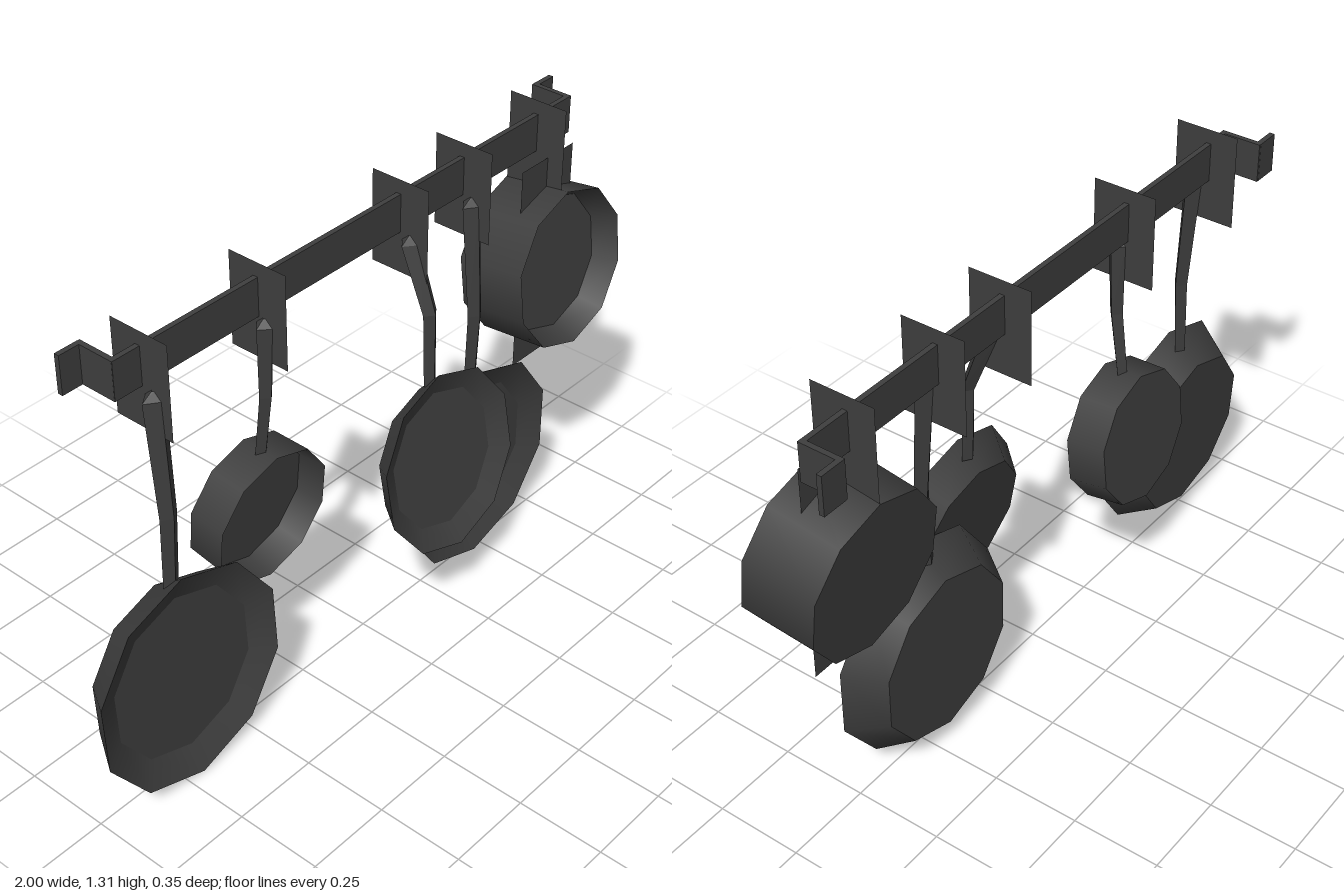
import * as THREE from 'three';

const iron = new THREE.MeshStandardMaterial({ color: 0x3e3e3e, side: THREE.DoubleSide });
iron.name = 'dark iron';

function add(parent, name, geometry, x = 0, y = 0, z = 0) {
  const mesh = new THREE.Mesh(geometry, iron);
  mesh.name = name;
  mesh.position.set(x, y, z);
  parent.add(mesh);
  return mesh;
}

// Ten-sided open wall facing +z, with its rim at z = 0
function wall(rimR, floorR, depth) {
  return new THREE.CylinderGeometry(rimR, floorR, depth, 10, 1, true)
    .rotateX(Math.PI / 2).translate(0, 0, -depth / 2);
}

function disc(r, z) {
  return new THREE.CircleGeometry(r, 10).rotateZ(Math.PI / 2).translate(0, 0, z);
}

// Outer shell with a shallower dish set into its mouth
function vessel({ name, x, y, z, rimR, floorR, depth, dishR, dishDepth, tilt }) {
  const group = new THREE.Group();
  group.name = name;
  group.position.set(x, y, z);
  group.rotation.x = tilt;
  add(group, 'outerWall', wall(rimR, floorR, depth));
  add(group, 'base', disc(floorR, -depth));
  add(group, 'innerWall', wall(rimR, dishR, dishDepth));
  add(group, 'innerFloor', disc(dishR, -dishDepth));
  return group;
}

// Diamond-section handle; each ring is [y, z, half width, half depth]
function handleGeometry(rings) {
  const pos = [], index = [];
  rings.forEach(([y, z, w, d], i) => {
    pos.push(w, y, z, 0, y, z + d, -w, y, z, 0, y, z - d);
    if (i === 0) return;
    for (let k = 0; k < 4; k++) {
      const a = (i - 1) * 4 + k, b = (i - 1) * 4 + (k + 1) % 4;
      index.push(a, b, b + 4, a, b + 4, a + 4);
    }
  });
  const geometry = new THREE.BufferGeometry();
  geometry.setAttribute('position', new THREE.Float32BufferAttribute(pos, 3));
  geometry.setIndex(index);
  const flat = geometry.toNonIndexed();
  flat.computeVertexNormals();
  return flat;
}

export function createModel() {
  const model = new THREE.Group();
  model.name = 'hangingPanRack';

  // Wall rail with a stepped bracket at each end
  const railX = 0.07, railY = 1.216, railH = 0.11;
  add(model, 'rail', new THREE.BoxGeometry(1.71, railH, 0.015), railX, railY, -0.063);
  for (const side of [-1, 1]) {
    add(model, 'bracketArm', new THREE.BoxGeometry(0.015, railH, 0.12), railX + side * 0.848, railY, -0.117);
    add(model, 'bracketFoot', new THREE.BoxGeometry(0.07, railH, 0.015), railX + side * 0.882, railY, -0.17);
  }

  // Flat hooks over the rail
  for (const x of [-0.7, -0.315, 0.208, 0.462, 0.778]) {
    add(model, 'hook', new THREE.PlaneGeometry(0.185, 0.27).rotateY(Math.PI / 2), x, 1.177, -0.057);
  }

  // Pans, each with the depths its handle passes through: top, middle, end
  const pans = [
    { name: 'largePanLeft', x: -0.7, y: 0.319, z: 0.05, rimR: 0.314, floorR: 0.245, depth: 0.105,
      dishR: 0.238, dishDepth: 0.035, tilt: -0.06, handleZ: [-0.022, 0, -0.008], width: 0.036 },
    { name: 'smallPan', x: -0.315, y: 0.558, z: -0.028, rimR: 0.2, floorR: 0.194, depth: 0.115,
      dishR: 0.188, dishDepth: 0.08, tilt: 0.09, handleZ: [-0.038, -0.042, -0.07], width: 0.029 },
    { name: 'mediumPan', x: 0.21, y: 0.521, z: 0.129, rimR: 0.262, floorR: 0.2, depth: 0.08,
      dishR: 0.2, dishDepth: 0.03, tilt: -0.18, handleZ: [-0.025, 0.045, 0.05], width: 0.033 },
    { name: 'largePanRight', x: 0.463, y: 0.317, z: 0.028, rimR: 0.315, floorR: 0.245, depth: 0.1,
      dishR: 0.238, dishDepth: 0.035, tilt: 0, handleZ: [-0.028, -0.004, -0.012], width: 0.036 },
  ];
  for (const p of pans) {
    model.add(vessel(p));
    const rimY = p.y + p.rimR * Math.cos(p.tilt);
    const [topZ, midZ, endZ] = p.handleZ;
    const w = p.width;
    add(model, p.name + 'Handle', handleGeometry([
      [1.163, topZ, 0.004, 0.004],
      [1.143, topZ, w, 0.026],
      [rimY + 0.18, midZ, w * 0.8, 0.02],
      [rimY - 0.04, endZ, w * 0.72, 0.016],
    ]), p.x);
  }

  // Deep pot with a flat grip plate showing above and below
  model.add(vessel({ name: 'deepPot', x: 0.778, y: 0.846, z: 0.086, rimR: 0.233, floorR: 0.228, depth: 0.213,
    dishR: 0.2, dishDepth: 0.07, tilt: -0.113 }));
  add(model, 'potGrip', new THREE.PlaneGeometry(0.225, 0.625), 0.778, 0.843, -0.015);

  return model;
}
